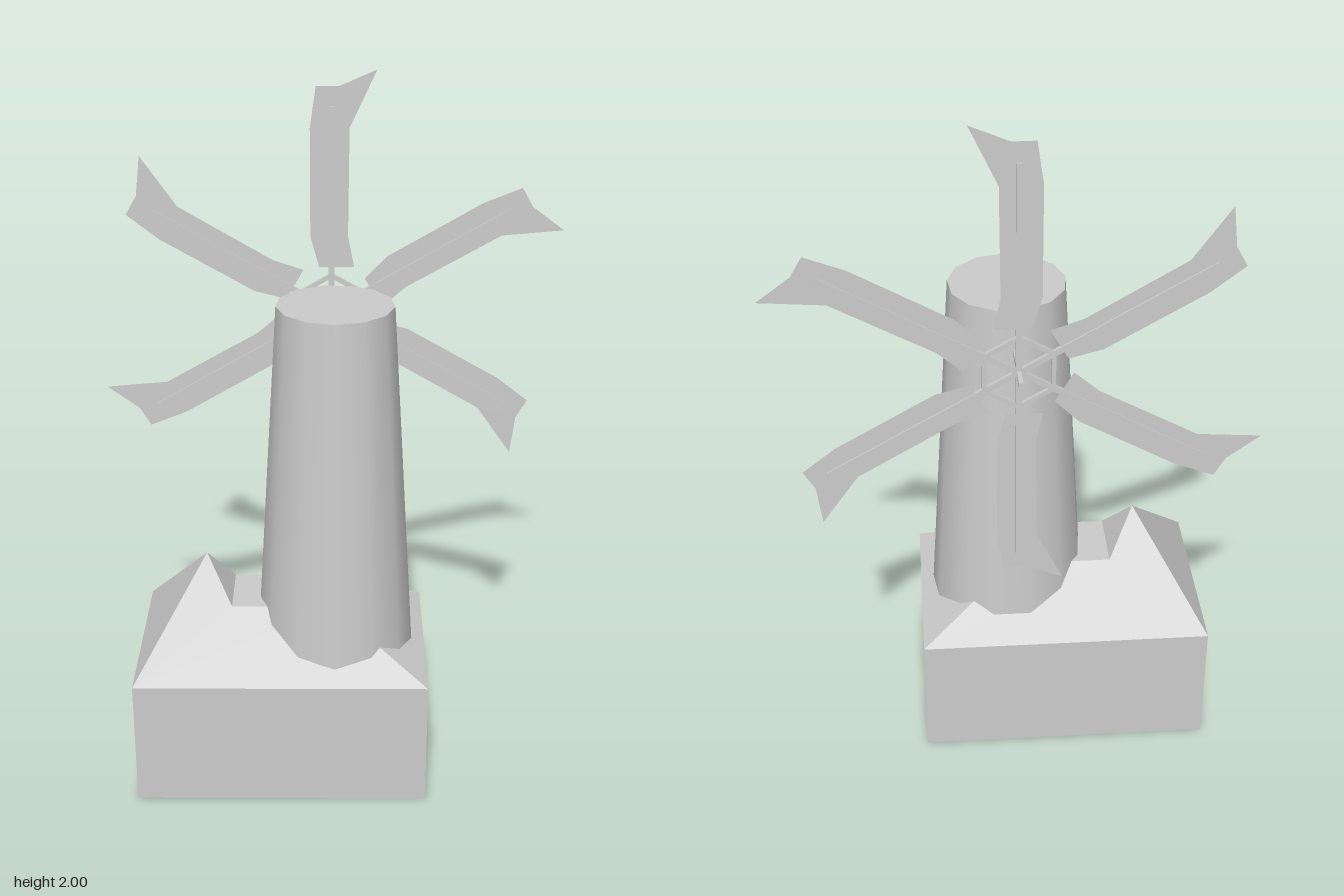
import * as THREE from 'three';

const grey = new THREE.MeshStandardMaterial({ color: 0xcccccc });
const flat = new THREE.MeshStandardMaterial({ color: 0xcccccc, flatShading: true });
const thin = new THREE.MeshStandardMaterial({ color: 0xcccccc, side: THREE.DoubleSide });

function addMesh(parent, name, geometry, material, x = 0, y = 0, z = 0) {
  const mesh = new THREE.Mesh(geometry, material);
  mesh.name = name;
  mesh.position.set(x, y, z);
  parent.add(mesh);
  return mesh;
}

// Hipped roof with a flat top and a raised peak at its left end
function roofGeometry() {
  const corners = [
    -0.57, 0.375, 0.305, 0.265, 0.375, 0.305, 0.265, 0.375, -0.25, -0.57, 0.375, -0.25, // eaves
    -0.295, 0.535, 0.12, -0.005, 0.535, 0.12, -0.005, 0.535, -0.07, -0.295, 0.535, -0.07, // flat top
    -0.37, 0.66, 0.025, // peak
  ];
  const faces = [
    0, 1, 5, 0, 5, 4, // front slope
    1, 2, 6, 1, 6, 5, // right-hand slope
    2, 3, 7, 2, 7, 6, // back slope
    4, 5, 6, 4, 6, 7, // flat top
    3, 0, 8, 0, 4, 8, 4, 7, 8, 7, 3, 8, // peak
  ];
  const geometry = new THREE.BufferGeometry();
  geometry.setAttribute('position', new THREE.Float32BufferAttribute(corners, 3));
  geometry.setIndex(faces);
  const split = geometry.toNonIndexed();
  split.computeVertexNormals();
  return split;
}

// Sail outline pointing up from the hub, with a swept tip
function sailGeometry() {
  const outline = [
    [0.125, 0.69], [0.02, 0.645], [-0.043, 0.645], [-0.06, 0.53], [-0.06, 0.22],
    [-0.035, 0.13], [0.065, 0.13], [0.047, 0.22], [0.05, 0.53],
  ];
  return new THREE.ShapeGeometry(new THREE.Shape(outline.map(([x, y]) => new THREE.Vector2(x, y))));
}

export function createModel() {
  const model = new THREE.Group();
  model.name = 'windmill';

  // House
  addMesh(model, 'houseBase', new THREE.BoxGeometry(0.835, 0.375, 0.555), grey, -0.1525, 0.1875, 0.0275);
  addMesh(model, 'roof', roofGeometry(), flat);

  // Tapered tower
  addMesh(model, 'tower', new THREE.CylinderGeometry(0.163, 0.228, 1.05, 13), grey, 0.002, 0.9, 0.037);

  // Sail wheel, turned slightly on its axle
  const wheel = new THREE.Group();
  wheel.name = 'sailWheel';
  wheel.position.set(-0.01, 1.31, -0.245);
  wheel.rotation.y = 0.014;
  model.add(wheel);
  addMesh(wheel, 'axle', new THREE.BoxGeometry(0.012, 0.012, 0.17), grey, 0, 0, 0.02);

  const sail = sailGeometry();
  const spoke = new THREE.BoxGeometry(0.016, 0.59, 0.012);
  const brace = new THREE.BoxGeometry(0.012, 0.105, 0.012);
  for (let i = 0; i < 6; i++) {
    const arm = new THREE.Group();
    arm.name = 'arm' + (i + 1);
    arm.rotation.z = (i * Math.PI) / 3;
    wheel.add(arm);
    addMesh(arm, 'spoke', spoke, grey, 0, 0.295, 0);
    addMesh(arm, 'sail', sail, thin);
    // One side of the hexagonal hub frame, joining this spoke to the next
    const side = addMesh(arm, 'hubBrace', brace, grey, -0.105 * 0.433, 0.105 * 0.75, 0);
    side.rotation.z = -Math.PI / 3;
  }
  return model;
}
